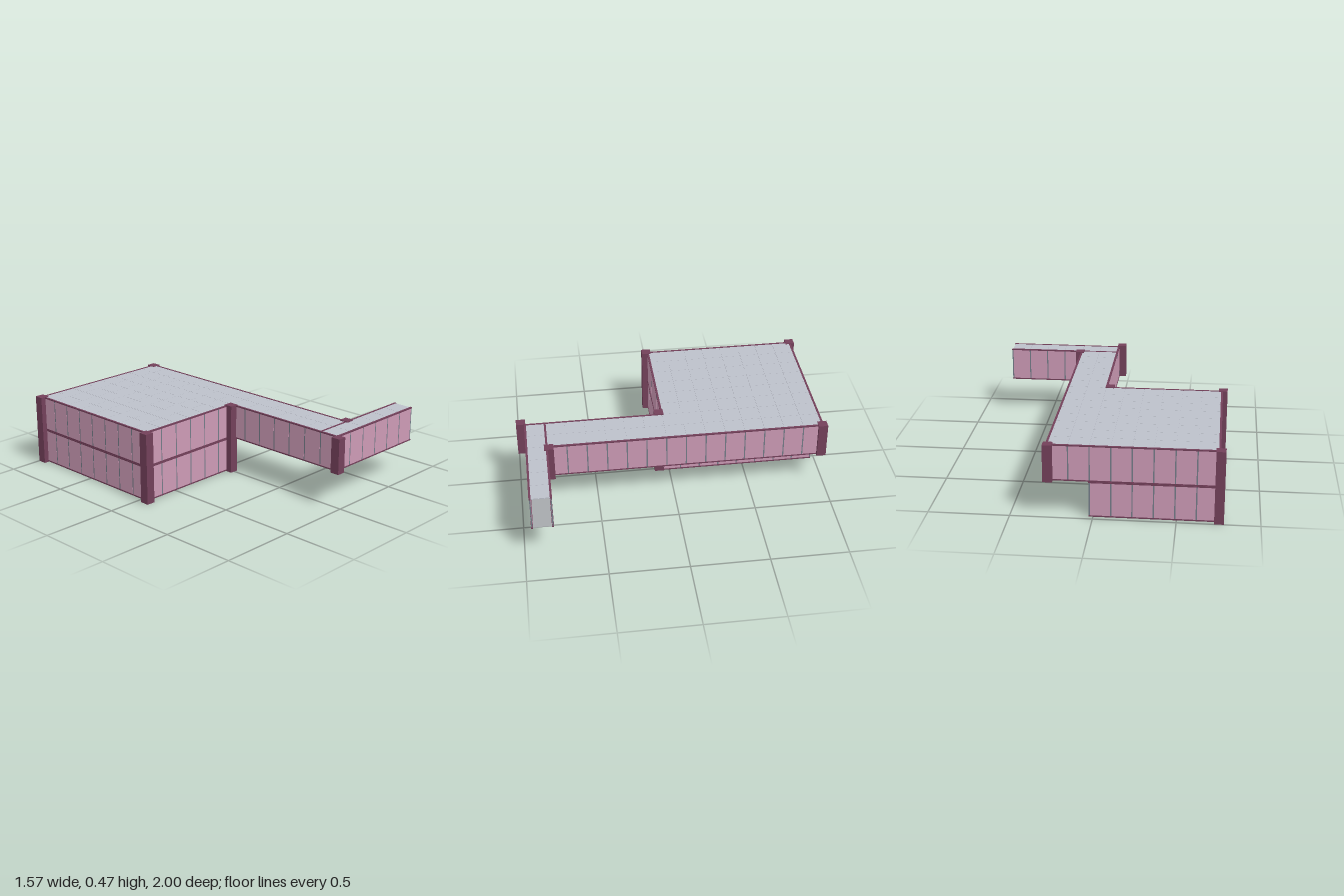
import * as THREE from 'three';

const U = 0.1275;               // panel module
const X0 = -0.745, Z0 = -0.97;  // back corner of the plan
const gx = i => X0 + i * U;
const gz = k => Z0 + k * U;

const mat = (name, color) => {
  const m = new THREE.MeshStandardMaterial({ color });
  m.name = name;
  return m;
};

export function createModel() {
  const wallPink = mat('wallPink', 0xcc9ab5);
  const framePlum = mat('framePlum', 0x73405a);
  const jointGrey = mat('jointGrey', 0x747c88);
  const roofGrey = mat('roofGrey', 0xbcc0ca);
  const floorGrey = mat('floorGrey', 0xa6a9ac);

  const model = new THREE.Group();
  model.name = 'building';

  function box(parent, name, material, w, h, d, x, y, z) {
    const m = new THREE.Mesh(new THREE.BoxGeometry(w, h, d), material);
    m.name = name;
    m.position.set(x, y, z);
    parent.add(m);
  }

  // A straight wall between two grid points: panels, joints, top and bottom rails
  function wall(name, i0, k0, i1, k1, y0, y1) {
    const g = new THREE.Group();
    g.name = name;
    const alongX = k0 === k1;
    const n = alongX ? i1 - i0 : k1 - k0;
    const len = n * U, mid = (y0 + y1) / 2, h = y1 - y0;
    const part = (label, material, l, hh, t, s, y) =>
      box(g, label, material, alongX ? l : t, hh, alongX ? t : l,
        gx(i0) + (alongX ? s : 0), y, gz(k0) + (alongX ? 0 : s));
    for (let j = 0; j < n; j++) part('wallPanel', wallPink, U - 0.008, h - 0.016, 0.008, (j + 0.5) * U, mid);
    for (let j = 0; j <= n; j++) part('panelJoint', jointGrey, 0.008, h - 0.016, 0.007, j * U, mid);
    part('bottomRail', framePlum, len + 0.01, 0.008, 0.013, len / 2, y0 + 0.004);
    part('topRail', framePlum, len + 0.01, 0.008, 0.013, len / 2, y1 - 0.004);
    model.add(g);
  }

  const L0 = 0.004, L1 = 0.231, T0 = 0.232, T1 = 0.462;

  // Lower storey
  wall('lowerBackWall', 0, 0, 6, 0, L0, L1);
  wall('lowerFrontWall', 0, 8, 6, 8, L0, L1);
  wall('lowerLeftWall', 0, 0, 0, 8, L0, L1);
  wall('lowerRightWall', 6, 0, 6, 8, L0, L1);

  // Upper storey, corridor and open-ended wing
  wall('upperBackWall', 0, 0, 8, 0, T0, T1);
  wall('upperFrontWall', 0, 8, 6, 8, T0, T1);
  wall('upperLeftWall', 0, 0, 0, 8, T0, T1);
  wall('upperRightWall', 8, 0, 8, 14, T0, T1);
  wall('corridorWall', 6, 8, 6, 15, T0, T1);
  wall('wingBackWall', 8, 14, 12, 14, T0, T1);
  wall('wingFrontWall', 6, 15, 12, 15, T0, T1);
  for (const y of [T0 + 0.004, T1 - 0.004])
    box(model, 'wingThreshold', framePlum, 2 * U, 0.008, 0.013, gx(7), y, gz(14));

  // Horizontal slab covering a grid rectangle
  function slab(name, material, i0, k0, i1, k1, y) {
    box(model, name, material, (i1 - i0) * U, 0.004, (k1 - k0) * U,
      gx((i0 + i1) / 2), y, gz((k0 + k1) / 2));
  }
  const plan = [['room', 0, 0, 8, 8], ['corridor', 6, 8, 8, 14], ['wing', 6, 14, 12, 15]];
  slab('lowerFloor', floorGrey, 0, 0, 6, 8, 0.006);
  for (const [name, i0, k0, i1, k1] of plan) {
    slab(name + 'Floor', floorGrey, i0, k0, i1, k1, 0.235);
    slab(name + 'Roof', roofGrey, i0, k0, i1, k1, 0.455);
    // Roof tiles with hairline gaps
    for (let i = i0; i < i1; i++)
      for (let k = k0; k < k1; k++)
        box(model, 'roofTile', roofGrey, U - 0.0015, 0.004, U - 0.0015, gx(i + 0.5), 0.458, gz(k + 0.5));
  }

  // Corner posts: x, z, bottom, top
  const posts = [
    [-0.753, -0.97, 0, 0.464], [-0.753, 0.063, 0, 0.464], [-0.003, 0.068, 0, 0.466],
    [0.268, -0.97, 0.228, 0.464], [0.288, 0.802, 0.228, 0.466], [-0.003, 0.97, 0.236, 0.467],
  ];
  for (const [x, z, b, t] of posts)
    box(model, 'cornerPost', framePlum, 0.058, t - b, 0.06, x, (b + t) / 2, z);

  return model;
}
